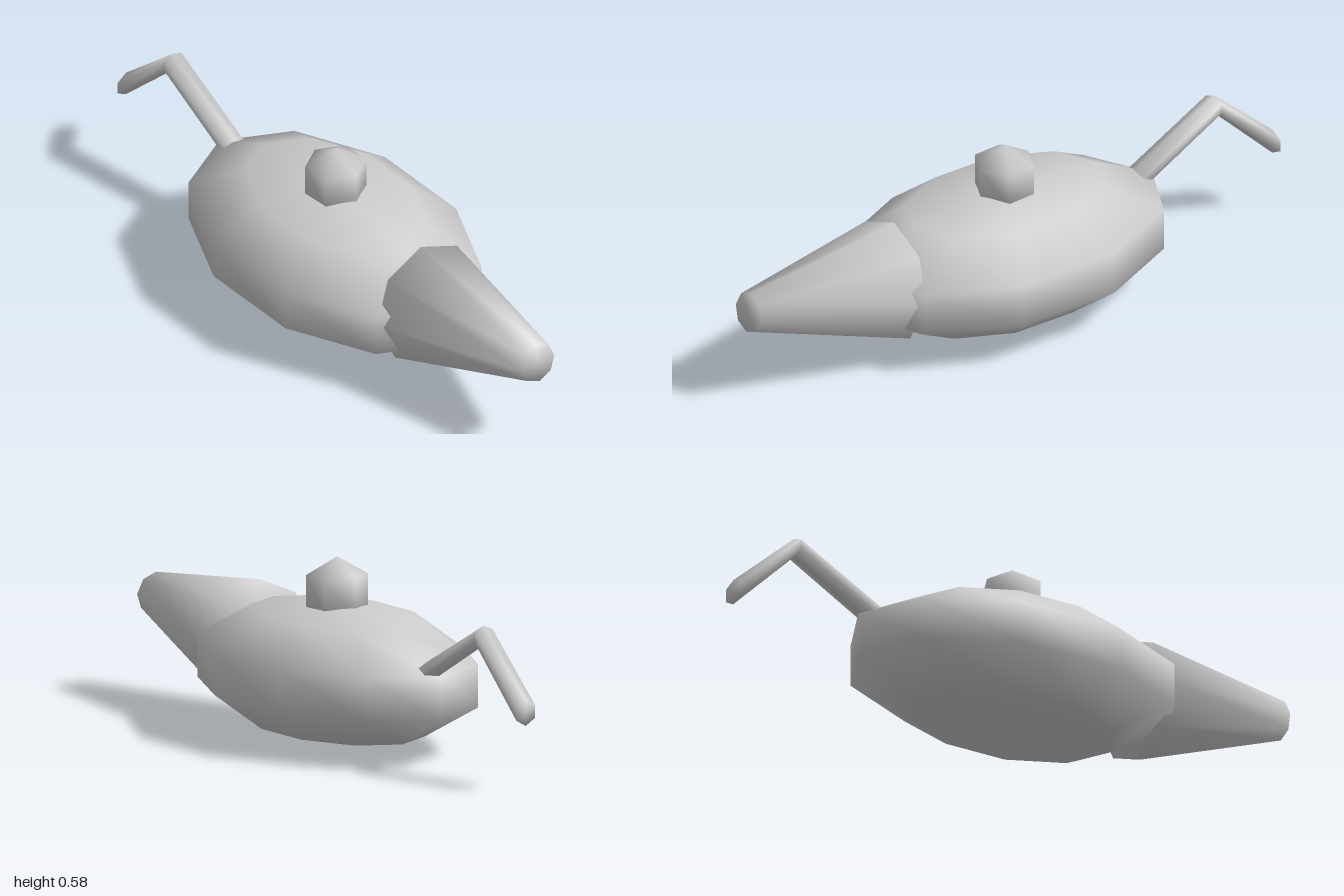
import * as THREE from 'three';

const V = (x, y, z) => new THREE.Vector3(x, y, z);

// Ring of n points: centre + u cos t + v sin t
function ring(c, u, v, n) {
  return Array.from({ length: n }, (_, i) => {
    const t = (i / n) * Math.PI * 2;
    return c.clone().addScaledVector(u, Math.cos(t)).addScaledVector(v, Math.sin(t));
  });
}

// Closed skin over rings with a fan at each end; every vertex is shared,
// and normals are weighted by corner angle so the shading is fully smooth.
function loft(rings, start, end) {
  const n = rings[0].length, pts = [start, ...rings.flat(), end], last = pts.length - 1;
  const id = (r, i) => 1 + r * n + (i % n);
  const tris = [];
  for (let i = 0; i < n; i++) {
    tris.push([0, id(0, i + 1), id(0, i)]);
    for (let r = 0; r < rings.length - 1; r++) {
      const a = id(r, i), b = id(r, i + 1), c = id(r + 1, i + 1), d = id(r + 1, i);
      tris.push([a, b, c], [a, c, d]);
    }
    tris.push([last, id(rings.length - 1, i), id(rings.length - 1, i + 1)]);
  }
  // Turn all faces outward
  const mid = start.clone().lerp(end, 0.5);
  let volume = 0;
  for (const [a, b, c] of tris) {
    const p = pts[a].clone().sub(mid), q = pts[b].clone().sub(mid), s = pts[c].clone().sub(mid);
    volume += p.dot(q.cross(s));
  }
  if (volume < 0) tris.forEach((t) => t.reverse());
  // Angle-weighted normals
  const normals = pts.map(() => V(0, 0, 0));
  for (const t of tris) {
    const face = new THREE.Triangle(...t.map((k) => pts[k])).getNormal(V(0, 0, 0));
    t.forEach((k, j) => {
      const e = pts[t[(j + 1) % 3]].clone().sub(pts[k]);
      const f = pts[t[(j + 2) % 3]].clone().sub(pts[k]);
      normals[k].addScaledVector(face, e.angleTo(f));
    });
  }
  const g = new THREE.BufferGeometry();
  const flat = (list) => new THREE.Float32BufferAttribute(list.flatMap((p) => p.toArray()), 3);
  g.setAttribute('position', flat(pts));
  g.setAttribute('normal', flat(normals.map((p) => p.normalize())));
  g.setIndex(tris.flat());
  return g;
}

// Coarse ball from stacked rings between two poles
function ball(c, u, v, height, sides, levels) {
  const rings = [];
  for (let k = 1; k < levels; k++) {
    const a = (k / levels) * Math.PI, s = Math.sin(a);
    rings.push(ring(V(c.x, c.y - height * Math.cos(a), c.z),
      u.clone().multiplyScalar(s), v.clone().multiplyScalar(s), sides));
  }
  return loft(rings, V(c.x, c.y - height, c.z), V(c.x, c.y + height, c.z));
}

export function createModel() {
  const model = new THREE.Group();
  const grey = new THREE.MeshStandardMaterial({ color: 0xcccccc });
  grey.name = 'light grey';
  const add = (name, geometry) => {
    const mesh = new THREE.Mesh(geometry, grey);
    mesh.name = name;
    model.add(mesh);
  };

  // Squashed body, ten sides; the ring axes are divided by the widest level
  const w = 1 / Math.sin(Math.PI * 0.4);
  add('body', ball(V(0.015, 0.22, 0),
    V(-0.143, 0, -0.357).multiplyScalar(w), V(0.544, 0, -0.06).multiplyScalar(w), 0.22, 10, 5));

  // Knob on top
  add('knob', ball(V(0.015, 0.466, -0.003), V(0.11, 0, 0.004), V(-0.004, 0, 0.113), 0.112, 6, 3));

  // Tapered spout, wide end sunk into the body
  const base = V(0.455, 0.245, 0.04), tip = V(0.99, 0.313, 0.082);
  const axis = tip.clone().sub(base).normalize();
  const side = axis.clone().cross(V(0, 1, 0)).normalize();
  const up = side.clone().cross(axis);
  const spoutRing = (c, r) =>
    ring(c, up.clone().multiplyScalar(r), side.clone().multiplyScalar(r), 8);
  add('spout', loft([spoutRing(base, 0.197), spoutRing(tip, 0.065)], base, tip));

  // Bent six-sided handle
  const path = [V(-0.42, 0.26, -0.048), V(-0.777, 0.455, -0.08), V(-1, 0.247, -0.098)];
  const halfHeights = [0.036, 0.031, 0.041];
  add('handle', loft(path.map((p, i) =>
    ring(p, V(0, halfHeights[i], 0), V(0, 0, 0.043), 6)), path[0], path[2]));

  return model;
}
